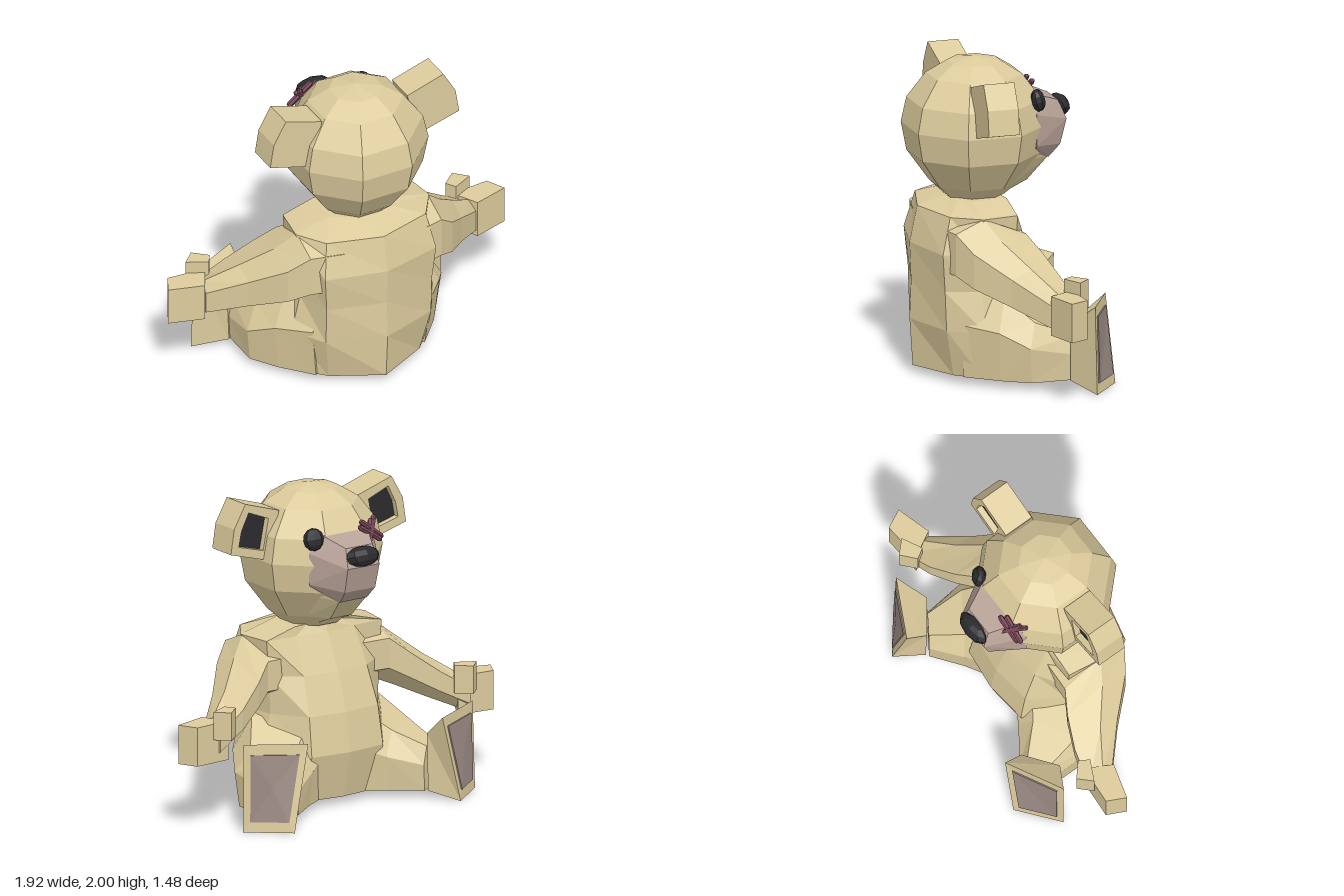
import * as THREE from 'three';
import { ConvexGeometry } from 'three/addons/geometries/ConvexGeometry.js';

const mat = (color) => new THREE.MeshStandardMaterial({ color, flatShading: true, side: THREE.DoubleSide });
const fur = mat(0xdccb9c), pink = mat(0xb8a297), padMat = mat(0x9c8a84), black = mat(0x2b2b2f), thread = mat(0x7a4658);

// Skin a list of equal-length rings of [x, y, z], close both ends and face the result outward.
function loft(rings) {
  const tris = [];
  const n = rings[0].length;
  for (let i = 0; i + 1 < rings.length; i++) {
    for (let j = 0; j < n; j++) {
      const k = (j + 1) % n;
      const [a, b, c, d] = [rings[i][j], rings[i][k], rings[i + 1][k], rings[i + 1][j]];
      tris.push([a, b, c], [a, c, d]);
    }
  }
  const cap = (ring, flip) => {
    const m = centroid(ring);
    ring.forEach((p, j) => {
      const q = ring[(j + 1) % n];
      tris.push(flip ? [m, q, p] : [m, p, q]);
    });
  };
  cap(rings[0], true);
  cap(rings[rings.length - 1], false);
  let volume = 0;
  const va = new THREE.Vector3(), vb = new THREE.Vector3(), vc = new THREE.Vector3();
  for (const [a, b, c] of tris) volume += va.fromArray(a).dot(vb.fromArray(b).cross(vc.fromArray(c)));
  if (volume < 0) tris.forEach((t) => t.reverse());
  const g = new THREE.BufferGeometry();
  g.setAttribute('position', new THREE.Float32BufferAttribute(tris.flat(2), 3));
  g.computeVertexNormals();
  return g;
}

const centroid = (ring) => [0, 1, 2].map((c) => ring.reduce((s, p) => s + p[c], 0) / ring.length);

function add(parent, name, geometry, material) {
  const m = new THREE.Mesh(geometry, material);
  m.name = name;
  parent.add(m);
  return m;
}

// Upright prism over a plan outline of [x, z]
const prism = (plan, y0, y1) => loft([y0, y1].map((y) => plan.map(([x, z]) => [x, y, z])));

// Convex solid from points of one half, mirrored in x
const convex = (half) =>
  new ConvexGeometry(half.flatMap(([x, y, z]) => [new THREE.Vector3(x, y, z), new THREE.Vector3(-x, y, z)]));

function makeTorso() {
  // y, half width, back middle, back corner x and z, front corner x, front z
  const rows = [
    [0.05, 0.46, -0.68, 0.32, -0.52, 0.26, 0.07],
    [0.35, 0.5, -0.7, 0.37, -0.58, 0.27, 0.14],
    [0.6, 0.44, -0.69, 0.37, -0.59, 0.26, 0.1],
    [0.84, 0.45, -0.7, 0.39, -0.61, 0.24, 0.01],
    [1.07, 0.47, -0.65, 0.35, -0.55, 0.22, -0.1],
    [1.13, 0.24, -0.45, 0.14, -0.43, 0.12, -0.12],
  ];
  return loft(rows.map(([y, w, zb, bx, bz, fx, zf]) => [
    [0, y, zb], [bx, y, bz], [w, y, -0.37], [w * 0.93, y, -0.14], [fx, y, zf - 0.03], [0, y, zf],
    [-fx, y, zf - 0.03], [-w * 0.93, y, -0.14], [-w, y, -0.37], [-bx, y, bz],
  ]));
}

function makeHead() {
  const rows = [[1.12, 0.19], [1.2, 0.28], [1.39, 0.42], [1.57, 0.455], [1.73, 0.42], [1.89, 0.3], [1.97, 0.17], [2, 0.002]];
  return loft(rows.map(([y, r]) => Array.from({ length: 8 }, (_, i) => {
    const a = ((i + 0.5) * Math.PI) / 4;
    return [r * Math.sin(a), y, -0.28 + r * Math.cos(a)];
  })));
}

// Ear: solid back, raised rim and a dark inner panel
function addEar(parent, s) {
  const ear = new THREE.Group();
  ear.name = s > 0 ? 'leftEar' : 'rightEar';
  parent.add(ear);
  const outline = [[0.3, 1.88], [0.555, 1.96], [0.64, 1.81], [0.665, 1.65], [0.38, 1.57]];
  const inner = [[0.38, 1.84], [0.53, 1.9], [0.585, 1.79], [0.605, 1.69], [0.42, 1.64]];
  const vec = (pts) => pts.map(([x, y]) => new THREE.Vector2(s * x, y));
  const extrude = (shape, depth) => new THREE.ExtrudeGeometry(shape, { depth, bevelEnabled: false });
  add(ear, 'earBack', extrude(new THREE.Shape(vec(outline)), 0.14), fur).position.z = -0.4;
  const rim = new THREE.Shape(vec(outline));
  rim.holes.push(new THREE.Path(vec(inner)));
  add(ear, 'earRim', extrude(rim, 0.06), fur).position.z = -0.26;
  add(ear, 'innerEar', extrude(new THREE.Shape(vec(inner)), 0.02), black).position.z = -0.26;
}

function addArm(parent, s) {
  const arm = new THREE.Group();
  arm.name = s > 0 ? 'leftArm' : 'rightArm';
  parent.add(arm);
  // x, lowest y, highest y, back z, front z
  const rows = [
    [0.25, 0.66, 1.07, -0.6, -0.1],
    [0.46, 0.66, 1.07, -0.55, -0.09],
    [0.58, 0.61, 0.95, -0.47, -0.02],
    [0.75, 0.53, 0.8, -0.28, 0.05],
    [0.95, 0.44, 0.66, -0.09, 0.09],
  ];
  add(arm, 'sleeve', loft(rows.map(([x, y0, y1, z0, z1]) => {
    const at = (u, v) => [s * x, y0 + (y1 - y0) * u, z0 + (z1 - z0) * v];
    return [at(1, 0.4), at(0.72, 1), at(0.25, 1), at(0, 0.55), at(0.15, 0), at(0.8, 0)];
  })), fur);
  const flip = (plan) => plan.map(([x, z]) => [s * x, z]);
  add(arm, 'hand', prism(flip([[0.87, 0.07], [1.125, 0.09], [1.185, -0.03], [0.96, -0.095]]), 0.43, 0.68), fur);
  add(arm, 'thumb', prism(flip([[0.92, 0.165], [0.83, 0.085], [0.87, 0.02], [1.0, 0.085]]), 0.58, 0.76), fur);
}

function addLeg(parent, s) {
  const leg = new THREE.Group();
  leg.name = s > 0 ? 'leftLeg' : 'rightLeg';
  parent.add(leg);
  // centre x and z, half width, lowest y, highest y
  const rows = [
    [0.12, -0.3, 0.36, 0.05, 0.62],
    [0.33, -0.14, 0.3, 0.05, 0.57],
    [0.48, 0, 0.245, 0.05, 0.42],
    [0.57, 0.2, 0.12, 0.05, 0.33],
  ];
  const rings = rows.map(([x, z, w, y0, y1]) => {
    const at = (u, y) => [s * (x + 0.83 * w * u), y, z - 0.55 * w * u];
    const mid = y0 + (y1 - y0) * 0.6;
    return [at(-0.9, y0), at(0.88, y0), at(1, mid), at(0.6, y1), at(-0.6, y1), at(-1, mid)];
  });
  add(leg, 'thigh', loft(rings), fur);
  // Foot flares from the heel to a tall sole turned outward
  const heel = [[0.5, 0.05, 0.27], [0.67, 0.05, 0.13], [0.69, 0.42, 0.12], [0.49, 0.42, 0.27]];
  const sole = [[0.63, 0, 0.435], [0.88, 0, 0.235], [0.87, 0.56, 0.225], [0.51, 0.55, 0.41]];
  const side = (pts) => pts.map(([x, y, z]) => [s * x, y, z]);
  add(leg, 'foot', loft([side(heel), side(sole)]), fur);
  const m = centroid(sole);
  const pad = (d) => side(sole.map((p) => p.map((v, c) => v + (m[c] - v) * 0.24 + [0.6, 0, 0.8][c] * d)));
  add(leg, 'solePad', loft([pad(-0.01), pad(0.008)]), padMat);
}

export function createModel() {
  const model = new THREE.Group();
  model.name = 'teddyBear';
  const bear = new THREE.Group();
  bear.name = 'bear';
  bear.rotation.y = Math.atan2(-0.6, -0.8);
  model.add(bear);

  add(bear, 'torso', makeTorso(), fur);
  add(bear, 'head', makeHead(), fur);
  add(bear, 'muzzle', convex([
    [0.1, 1.7, 0.235], [0.12, 1.58, 0.285], [0.115, 1.42, 0.245], [0.1, 1.34, 0.175],
    [0.25, 1.65, 0.05], [0.25, 1.45, 0.05], [0.17, 1.76, 0.08], [0.13, 1.32, 0],
  ]), pink);
  add(bear, 'chin', convex([
    [0.1, 1.34, 0.165], [0.22, 1.42, 0.03], [0.28, 1.38, -0.08], [0.08, 1.2, 0.04], [0.18, 1.2, -0.1], [0.1, 1.13, -0.13],
  ]), fur);
  for (const s of [1, -1]) {
    addEar(bear, s);
    addArm(bear, s);
    addLeg(bear, s);
  }

  // Nose and button eye
  const nose = add(bear, 'nose', new THREE.SphereGeometry(1, 8, 6), black);
  nose.scale.set(0.125, 0.065, 0.06);
  nose.position.set(0, 1.645, 0.275);
  nose.rotation.x = -0.4;
  const eye = add(bear, 'buttonEye', new THREE.SphereGeometry(1, 8, 6), black);
  eye.scale.set(0.066, 0.072, 0.045);
  eye.position.set(-0.225, 1.74, 0.065);
  eye.rotation.set(-0.25, -0.45, 0);

  // Crossed stitches in place of the other eye
  const stitches = new THREE.Group();
  stitches.name = 'stitchedEye';
  stitches.position.set(0.17, 1.735, 0.1);
  stitches.rotation.set(-0.5, 0.35, 0);
  bear.add(stitches);
  for (const [angle, dx] of [[1.0, 0.012], [1.1, -0.014], [-0.65, 0.014], [-0.5, -0.014]]) {
    const bar = add(stitches, 'stitch', new THREE.CapsuleGeometry(0.018, 0.18, 2, 6), thread);
    bar.rotation.z = angle;
    bar.position.set(dx, dx, 0.015);
  }
  return model;
}
